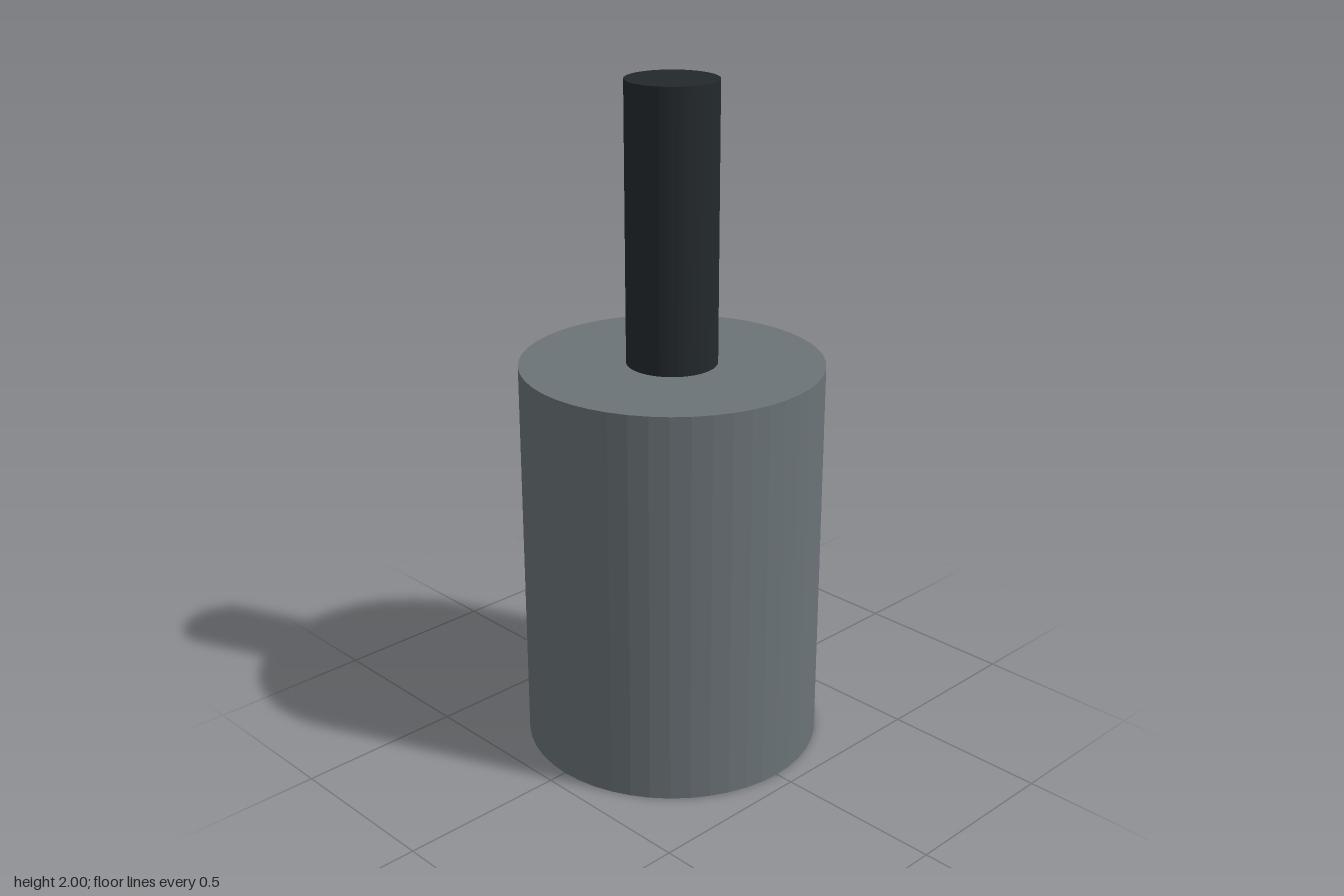
import * as THREE from 'three';

// Upright cylinder standing on height y0
function addCylinder(group, name, radius, y0, y1, color) {
  const geometry = new THREE.CylinderGeometry(radius, radius, y1 - y0, 48);
  const material = new THREE.MeshStandardMaterial({ color, flatShading: true });
  const mesh = new THREE.Mesh(geometry, material);
  mesh.name = name;
  mesh.position.y = (y0 + y1) / 2;
  group.add(mesh);
}

export function createModel() {
  const model = new THREE.Group();
  model.name = 'cylinderWithShaft';

  // Wide solid body
  addCylinder(model, 'body', 0.444, 0, 1.185, 0x6b7378);
  // Thin dark shaft rising from the centre of the body
  addCylinder(model, 'shaft', 0.133, 1.185, 2, 0x23292d);

  return model;
}
